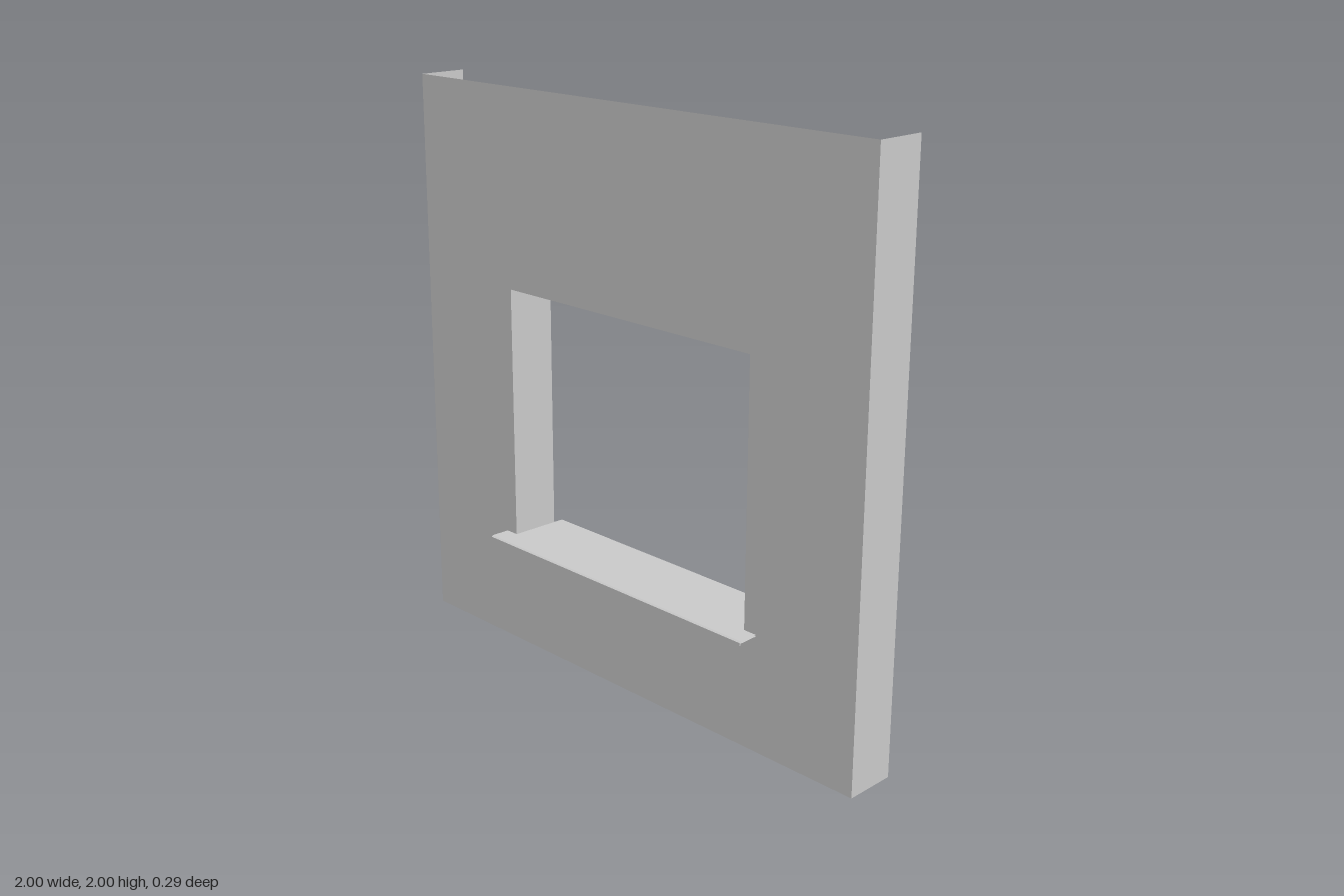
import * as THREE from 'three';

const FRONT = 0.07, BACK = -0.11;   // depth of the panel and its returns
const HALF = 0.55, LOW = 0.404, HIGH = 1.31; // window opening

export function createModel() {
  const group = new THREE.Group();
  const mat = new THREE.MeshStandardMaterial({ color: 0xcccccc, side: THREE.DoubleSide, flatShading: true });

  const add = (geo, name) => {
    const mesh = new THREE.Mesh(geo, mat);
    mesh.name = name;
    group.add(mesh);
    return mesh;
  };

  // Upright return running back from the panel
  const upright = (x, y0, y1, side, name) => {
    const geo = new THREE.PlaneGeometry(FRONT - BACK, y1 - y0);
    geo.rotateY(side * Math.PI / 2);
    geo.translate(x, (y0 + y1) / 2, (FRONT + BACK) / 2);
    add(geo, name);
  };

  // Strip swept along x through a list of [z, y] profile points
  const strip = (halfWidth, profile, name) => {
    const pos = [], idx = [];
    profile.forEach(([z, y], i) => {
      pos.push(-halfWidth, y, z, halfWidth, y, z);
      if (i) {
        const a = 2 * i - 2;
        idx.push(a, a + 2, a + 1, a + 1, a + 2, a + 3);
      }
    });
    const geo = new THREE.BufferGeometry();
    geo.setAttribute('position', new THREE.Float32BufferAttribute(pos, 3));
    geo.setIndex(idx);
    const flat = geo.toNonIndexed();
    flat.computeVertexNormals();
    add(flat, name);
  };

  // Front sheet with the window opening
  const sheet = new THREE.Shape([[-1, 0], [1, 0], [1, 2], [-1, 2]].map(p => new THREE.Vector2(...p)));
  sheet.holes.push(new THREE.Path([[-HALF, LOW], [-HALF, HIGH], [HALF, HIGH], [HALF, LOW]].map(p => new THREE.Vector2(...p))));
  add(new THREE.ShapeGeometry(sheet), 'frontPanel').position.z = FRONT;

  // Outer side flanges and window jambs
  for (const s of [-1, 1]) {
    const label = s > 0 ? 'left' : 'right';
    upright(s, 0, 2, s, label + 'Flange');
    upright(s * HALF, LOW, HIGH, -s, label + 'Jamb');
  }

  // Window head
  strip(HALF, [[BACK, HIGH], [FRONT, HIGH]], 'windowHead');

  // Sill: inner sheet through the opening, wider drip nose in front
  strip(HALF, [[-0.148, 0.403], [FRONT, 0.408]], 'innerSill');
  strip(0.6, [[FRONT, 0.408], [0.139, 0.409], [0.145, 0.405], [0.145, 0.395], [0.142, 0.395], [0.139, 0.402], [FRONT, 0.403]], 'sillNose');

  return group;
}
